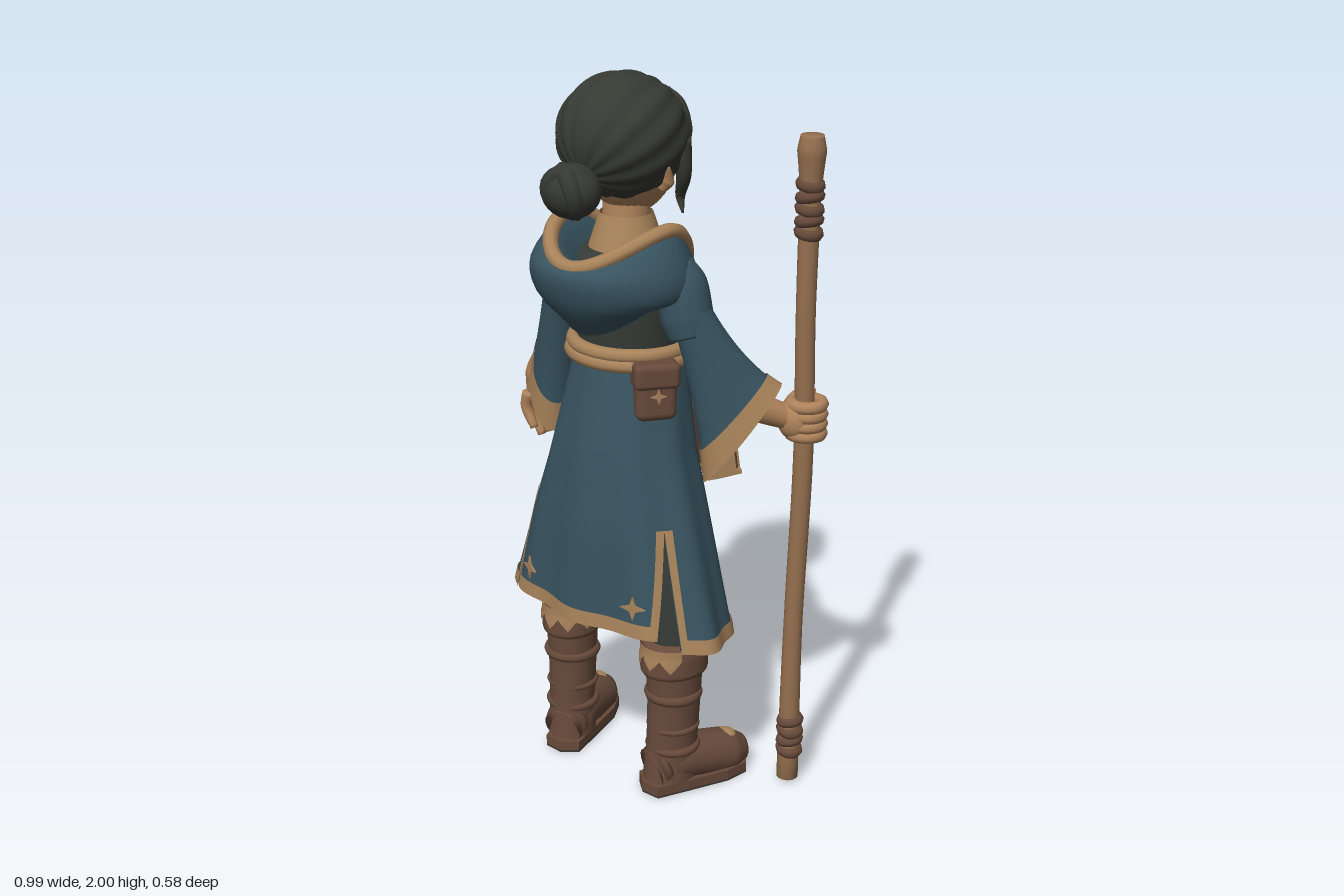
import * as THREE from 'three';
import { RoundedBoxGeometry } from 'three/addons/geometries/RoundedBoxGeometry.js';

const mat = (name, color) => new THREE.MeshStandardMaterial({ name, color, side: THREE.DoubleSide });
const V = (x, y, z) => new THREE.Vector3(x, y, z);
const { lerp, clamp } = THREE.MathUtils;
const PI = Math.PI;

// linear lookup in rows of [key, value, value...] with ascending keys
function tab(rows, k) {
  let i = 0;
  while (i < rows.length - 2 && k > rows[i + 1][0]) i++;
  const a = rows[i], b = rows[i + 1], f = clamp((k - a[0]) / (b[0] - a[0]), 0, 1);
  return a.slice(1).map((v, j) => lerp(v, b[j + 1], f));
}

// grid surface from fn(u, t) -> Vector3, optionally closed around u
function surf(fn, nu, nv, closed = false) {
  const pos = [], idx = [], cols = closed ? nu : nu + 1;
  for (let j = 0; j <= nv; j++)
    for (let i = 0; i < cols; i++) pos.push(...fn(i / nu, j / nv).toArray());
  for (let j = 0; j < nv; j++)
    for (let i = 0; i < nu; i++) {
      const a = j * cols + i, b = j * cols + (i + 1) % cols, c = a + cols, d = b + cols;
      idx.push(a, b, d, a, d, c);
    }
  const g = new THREE.BufferGeometry();
  g.setAttribute('position', new THREE.Float32BufferAttribute(pos, 3));
  g.setIndex(idx);
  g.computeVertexNormals();
  return g;
}

// rounded limb through points [x, y, z, radius], closed at both ends
function limb(pts, flat = 1, sides = 14) {
  const curve = new THREE.CatmullRomCurve3(pts.map(p => V(p[0], p[1], p[2])));
  const radii = pts.map((p, i) => [i / (pts.length - 1), p[3]]);
  const n = pts.length * 5;
  return surf((u, t) => {
    const k = clamp((t * (n + 2) - 1) / n, 0, 1), c = curve.getPoint(k), d = curve.getTangent(k);
    const r = t === 0 || t === 1 ? 0 : tab(radii, k)[0];
    const s = V(0, 0, 1).cross(d);
    if (s.length() < 0.25) s.set(1, 0, 0);
    s.normalize();
    const w = d.clone().cross(s).normalize(), a = u * 2 * PI;
    return c.addScaledVector(s, r * Math.cos(a)).addScaledVector(w, r * flat * Math.sin(a));
  }, sides, n + 2, true);
}

// upright body from rows [y, rx, rz, cx, cz]
const stack = (rows, n = 24) => surf((u, t) => {
  const y = lerp(rows[0][0], rows.at(-1)[0], t), [rx, rz, cx, cz] = tab(rows, y);
  return V(cx + rx * Math.sin(u * 2 * PI), y, cz + rz * Math.cos(u * 2 * PI));
}, n, 24, true);

// coat skirt point at angle a (0 = back), height y
const skirt = [[0.5, 0.36, 0.195, 0.028], [0.8, 0.272, 0.182, 0.02], [1.0, 0.21, 0.168, 0.01], [1.28, 0.148, 0.14, -0.02]];
function coat(a, y, off = 0) {
  const [rx, rz, cz] = tab(skirt, y), o = off + 0.012 * (1.28 - y) * Math.cos(9 * a);
  return V((rx + o) * Math.sin(a), y, cz + (rz + o) * Math.cos(a));
}

function star(r) {
  const s = new THREE.Shape();
  for (let i = 0; i < 8; i++) {
    const q = i % 2 ? r * 0.35 : r, a = i * PI / 4;
    s[i ? 'lineTo' : 'moveTo'](q * Math.sin(a), q * Math.cos(a));
  }
  return new THREE.ExtrudeGeometry(s, { depth: 0.005, bevelEnabled: false });
}

export function createModel() {
  const root = new THREE.Group();
  root.name = 'traveller';
  const hair = mat('charcoal hair', 0x373933), skin = mat('skin', 0xb0845c), blue = mat('blue cloth', 0x38535f);
  const trim = mat('tan trim', 0xa8835a), leather = mat('brown leather', 0x674a3b), dark = mat('dark cloth', 0x373d39);
  const wood = mat('staff wood', 0x95704f), sole = mat('dark sole', 0x3f3833);
  const add = (name, geo, m, p = [0, 0, 0], parent = root) => {
    const o = new THREE.Mesh(geo, m);
    o.name = name;
    o.position.set(...p);
    parent.add(o);
    return o;
  };
  const ball = (name, m, p, sx, sy, sz, parent) => add(name, new THREE.SphereGeometry(1, 20, 14).scale(sx, sy, sz), m, p, parent);
  const ring = (name, m, p, r, tube, parent) => add(name, new THREE.TorusGeometry(r, tube, 8, 24).rotateX(PI / 2), m, p, parent);

  // head and face
  const headGeo = new THREE.SphereGeometry(1, 28, 20), hp = headGeo.attributes.position;
  for (let i = 0; i < hp.count; i++) {
    const y = hp.getY(i), low = Math.max(0, -y);
    hp.setXYZ(i, hp.getX(i) * 0.128 * (1 - 0.25 * low * low), y * 0.165, hp.getZ(i) * 0.132 - 0.03 * low);
  }
  headGeo.computeVertexNormals();
  add('head', headGeo, skin, [0, 1.79, 0]);
  add('nose', limb([[0, 1.79, -0.125, 0.01], [0, 1.755, -0.14, 0.014], [0, 1.74, -0.134, 0.012]]), skin);
  ball('mouth', leather, [0, 1.698, -0.128], 0.022, 0.004, 0.006);
  for (const s of [-1, 1]) {
    ball('eye', hair, [s * 0.05, 1.778, -0.121], 0.022, 0.012, 0.007);
    add('brow', limb([[s * 0.02, 1.805, -0.131, 0.005], [s * 0.055, 1.816, -0.122, 0.007], [s * 0.085, 1.805, -0.1, 0.004]]), hair);
    add('ear', limb([[s * 0.115, 1.715, 0.0, 0.018], [s * 0.135, 1.742, 0.0, 0.026], [s * 0.158, 1.778, 0.02, 0.005]], 0.6), skin);
  }
  add('neck', new THREE.CylinderGeometry(0.06, 0.07, 0.18, 20), skin, [0, 1.59, 0]);
  add('collar', new THREE.CylinderGeometry(0.07, 0.1, 0.09, 24, 1, true), trim, [0, 1.59, 0]);

  // swept hair whose strands gather at the bun
  const A = V(0, -0.5, 0.866), T = V(0, 0.866, 0.5);
  const line = [[0, 190], [60, 171], [90, 152], [113, 126], [150, 65], [180, 42]];
  add('hair', surf((u, t) => {
    const f = u * 2 * PI, deg = Math.abs(u > 0.5 ? u * 360 - 360 : u * 360);
    const th = t * tab(line, deg)[0] * PI / 180;
    const d = A.clone().multiplyScalar(Math.cos(th)).addScaledVector(T, Math.sin(th) * Math.cos(f));
    d.x += Math.sin(th) * Math.sin(f);
    const k = 1 + 0.02 * Math.cos(14 * f) * Math.abs(Math.sin(th));
    return V(0.003 + d.x * 0.166 * k, 1.837 + d.y * 0.16 * k, 0.018 + d.z * 0.174 * k);
  }, 112, 24, true), hair);
  ball('bun', hair, [0.01, 1.73, 0.215], 0.078, 0.07, 0.068);
  for (const r of [-0.6, 0.5]) {
    const o = add('bunStrand', new THREE.TorusGeometry(0.05, 0.026, 8, 24), hair, [0.01, 1.73, 0.225]);
    o.rotation.set(0.3, r, 0);
  }
  for (const s of [-1, 1]) {
    add('fringe', limb([[s * 0.015, 1.925, -0.11, 0.028], [s * 0.06, 1.895, -0.115, 0.034], [s * 0.103, 1.845, -0.09, 0.034], [s * 0.13, 1.775, -0.06, 0.016]], 0.9), hair);
    add('sideLock', limb([[s * 0.128, 1.83, -0.06, 0.03], [s * 0.135, 1.74, -0.068, 0.02], [s * 0.108, 1.675, -0.088, 0.013], [s * 0.125, 1.635, -0.078, 0.003]]), hair);
  }
  add('frontLock', limb([[0.02, 1.925, -0.115, 0.03], [0.05, 1.885, -0.13, 0.026], [0.09, 1.82, -0.11, 0.006]], 0.7), hair);

  // torso
  const chest = [[1.25, 0.14, 0.135, 0, -0.02], [1.42, 0.172, 0.145, 0, -0.015], [1.5, 0.17, 0.12, 0, 0], [1.58, 0.07, 0.07, 0, 0]];
  add('vest', stack(chest), dark);
  for (const [name, m, y0, half, off] of [['jacketFront', blue, 1.25, PI - 1.75, 0.008], ['shirtFront', trim, 1.4, 0.4, 0.013]])
    add(name, surf((u, t) => {
      const y = lerp(y0, 1.57, t), [rx, rz, , cz] = tab(chest, y), a = lerp(PI - half, PI + half, u);
      return V((rx + off) * Math.sin(a), y, cz + (rz + off) * Math.cos(a));
    }, 20, 14), m);

  // draped hood, lying open on the shoulders
  const rim = (a, off = 0) => {
    const c = Math.cos(a);
    return V((0.16 + off) * Math.sin(a), 1.615 - (c > 0 ? 0.085 : 0.2) * c * c, 0.03 + (0.185 + off) * c);
  };
  add('hood', surf((u, t) => {
    const a = u * 2 * PI, c = Math.cos(a), s = Math.sin(a), back = Math.max(c, 0), front = Math.max(-c, 0);
    const sec = new THREE.CatmullRomCurve3([
      V(0.1 * s, 1.5 - 0.08 * front, 0.02 + 0.12 * c), rim(a),
      V(0.228 * s, 1.52 - 0.1 * front, 0.04 + 0.215 * c),
      V(0.225 * s, 1.45 - 0.015 * back - 0.06 * front, 0.035 + 0.205 * c),
      V(0.17 * s, 1.43 - 0.09 * back * back - 0.05 * front, 0.02 + 0.15 * c)]);
    return sec.getPoint(t);
  }, 48, 16, true), blue);
  const loop = (fn, n = 48) => new THREE.CatmullRomCurve3(Array.from({ length: n }, (_, i) => fn(i / n * 2 * PI)), true);
  add('hoodTrim', new THREE.TubeGeometry(loop(a => rim(a, 0.004)), 96, 0.021, 8, true), trim);
  for (const s of [-1, 1])
    add('lapel', limb([[s * 0.075, 1.57, -0.085, 0.03], [s * 0.05, 1.48, -0.15, 0.034], [s * 0.025, 1.38, -0.168, 0.028], [s * 0.012, 1.27, -0.163, 0.02]], 0.5), trim);

  // skirt panels: [start, end, start gap, end gap, start slit top, end slit top, hem height]
  const panels = [[-1.05, 1.05, 0.25, 0.25, 0.83, 0.83, 0.54]];
  for (const s of [-1, 1])
    panels.push([s * 1.05, s * 2.42, -s * 0.01, s * 0.05, 0.83, 0.86, 0.5], [s * 2.42, s * PI, s * 0.06, s * 0.28, 0.86, 1.12, 0.55]);
  for (const [a0, a1, g0, g1, top0, top1, hem] of panels) {
    const open = (y, top) => clamp((top - y) / (top - hem), 0, 1);
    const e0 = y => a0 + g0 * open(y, top0), e1 = y => a1 - g1 * open(y, top1);
    const at = (u, y, off) => coat(lerp(e0(y), e1(y), u), y, off);
    add('coatPanel', surf((u, t) => at(u, lerp(1.28, hem, t), 0), 28, 24), blue);
    add('coatLining', surf((u, t) => at(u, lerp(1.28, hem, t), -0.009), 28, 24), dark);
    add('hemTrim', surf((u, t) => at(u, lerp(hem + 0.036, hem - 0.004, t), 0.005), 28, 2), trim);
    const dir = Math.sign(a1 - a0);
    for (const [edge, top, k] of [[e0, top0, 1], [e1, top1, -1]])
      add('slitTrim', surf((u, t) => {
        const y = lerp(top, hem, t);
        return coat(edge(y) + k * dir * u * 0.028 / tab(skirt, y)[0], y, 0.005);
      }, 2, 16), trim);
  }
  for (const s of [-1, 1]) {
    const o = add('hemOrnament', star(0.036), trim, coat(s * 0.6, 0.62, 0.004).toArray());
    o.rotation.y = s * 0.35;
  }

  // rope belt, knot and tassels
  for (const y of [1.258, 1.284])
    add('ropeBelt', new THREE.TubeGeometry(loop(a => coat(a, y, 0.01)), 72, 0.02, 8, true), trim);
  ball('beltKnot', trim, [-0.04, 1.265, -0.18], 0.045, 0.035, 0.032);
  for (const [x, y, z] of [[-0.1, 0.93, -0.195], [-0.05, 0.88, -0.212]]) {
    add('ropeTail', limb([[-0.04, 1.26, -0.185, 0.014], [x * 0.85, 1.1, z, 0.015], [x, y, z, 0.014]]), trim);
    ball('tasselKnot', trim, [x, y, z], 0.025, 0.024, 0.025);
    add('tassel', new THREE.ConeGeometry(0.027, 0.09, 12), trim, [x, y - 0.05, z]);
  }

  // pouches and satchel
  const bag = (name, p, yaw, tilt, w, h, d, ornament) => {
    const g = new THREE.Group();
    g.name = name;
    g.position.set(...p);
    g.rotation.set(tilt, yaw, 0, 'YXZ');
    root.add(g);
    add('bagBody', new RoundedBoxGeometry(w, h, d, 3, 0.022), leather, [0, 0, 0], g);
    add('bagFlap', new RoundedBoxGeometry(w + 0.012, h * 0.45, d + 0.014, 3, 0.016), leather, [0, h * 0.3, 0], g);
    add('bagOrnament', star(ornament), trim, [0, -h * 0.02, d / 2 + 0.006], g);
    return g;
  };
  bag('hipPouch', [0.152, 1.195, 0.062], 0.95, 0, 0.11, 0.155, 0.075, 0.022);
  const pouch = bag('frontPouch', [0.12, 1.205, -0.165], 2.5, 0, 0.14, 0.115, 0.095, 0.022);
  add('pouchTopPatch', new THREE.BoxGeometry(0.08, 0.006, 0.06), trim, [0.01, 0.061, 0.01], pouch);
  const satchel = bag('satchel', [0.14, 0.985, -0.205], 2.5, -0.14, 0.155, 0.21, 0.09, 0.052);
  for (const s of [-1, 1]) {
    add('satchelPages', new THREE.BoxGeometry(0.008, 0.16, 0.066), trim, [s * 0.08, -0.01, 0], satchel);
    add('satchelBorder', new THREE.BoxGeometry(0.012, 0.11, 0.006), trim, [s * 0.06, -0.04, 0.045], satchel);
    add('satchelStrap', new THREE.BoxGeometry(0.016, 0.17, 0.01), leather, [s * 0.055, 0.16, -0.02], satchel);
  }
  add('satchelEdge', new THREE.BoxGeometry(0.16, 0.014, 0.096), trim, [0, -0.088, 0], satchel);

  // sheathed dagger
  add('sheath', limb([[-0.18, 1.21, -0.085, 0.038], [-0.208, 1.08, -0.085, 0.036], [-0.235, 0.95, -0.08, 0.016]], 0.8), leather);
  add('daggerGuard', limb([[-0.135, 1.2, -0.125, 0.015], [-0.22, 1.23, -0.075, 0.015]]), trim);
  add('daggerGrip', limb([[-0.174, 1.22, -0.105, 0.022], [-0.155, 1.3, -0.12, 0.02]]), leather);
  ball('daggerPommel', trim, [-0.15, 1.31, -0.123], 0.025, 0.022, 0.025);

  // arms: puffed upper sleeve, wide lined bell sleeve, forearm
  const bell = (s, t, u, k = 1) => {
    const e = t * t * 0.6 + t * 0.4, a = u * 2 * PI, c = Math.cos(a) * k, w = Math.sin(a) * k;
    return V(s * (lerp(0.222, 0.332, t) + c * lerp(0.04, 0.06, e) + w * lerp(0.03, 0.05, e)),
      lerp(1.4, 1.08, t) + c * lerp(0.02, 0.125, e) + w * 0.006,
      lerp(0, -0.082, t) + c * lerp(-0.03, -0.08, e) + w * lerp(0.046, 0.058, e));
  };
  for (const s of [-1, 1]) {
    add('upperSleeve', limb([[s * 0.14, 1.52, 0, 0.055], [s * 0.185, 1.47, 0, 0.07], [s * 0.208, 1.39, 0, 0.07], [s * 0.222, 1.345, -0.002, 0.062]]), blue);
    add('bellSleeve', surf((u, t) => bell(s, t * 0.84, u), 28, 14, true), blue);
    add('sleeveLining', surf((u, t) => bell(s, lerp(0.2, 0.98, t), u, 0.93), 28, 12, true), dark);
    add('sleeveTrim', surf((u, t) => bell(s, lerp(0.82, 1, t), u, 1.035), 28, 3, true), trim);
  }
  add('forearmLeft', limb([[0.28, 1.24, -0.03, 0.042], [0.34, 1.16, -0.1, 0.042], [0.4, 1.11, -0.185, 0.033]]), skin);
  ball('gripPalm', skin, [0.415, 1.105, -0.2], 0.05, 0.058, 0.045);
  for (let i = 0; i < 4; i++) ring('gripFinger', skin, [0.432, 1.065 + i * 0.027, -0.225], 0.041, 0.018);
  add('gripThumb', limb([[0.39, 1.13, -0.2, 0.02], [0.395, 1.155, -0.24, 0.018], [0.43, 1.16, -0.27, 0.013]]), skin);
  add('forearmRight', limb([[-0.28, 1.24, -0.03, 0.042], [-0.35, 1.18, -0.09, 0.046], [-0.42, 1.1, -0.13, 0.04]]), skin);
  add('openPalm', limb([[-0.41, 1.12, -0.125, 0.036], [-0.445, 1.05, -0.145, 0.052], [-0.458, 0.98, -0.15, 0.044]], 1.1), skin);
  for (let i = 0; i < 4; i++) {
    const z = -0.1 - i * 0.031, l = i === 0 ? 0.03 : 0;
    add('finger', limb([[-0.465, 0.99, z, 0.02], [-0.474, 0.93 + l / 2, z, 0.018], [-0.445, 0.855 + l, z, 0.012]]), skin);
  }
  add('openThumb', limb([[-0.43, 1.04, -0.175, 0.024], [-0.405, 0.98, -0.2, 0.019], [-0.4, 0.925, -0.205, 0.012]]), skin);

  // legs and boots
  for (const s of [-1, 1]) {
    add('trouserLeg', limb([[s * 0.075, 1.08, -0.005, 0.1], [s * 0.12, 0.85, 0, 0.1], [s * 0.165, 0.62, 0.005, 0.08], [s * 0.185, 0.42, 0.012, 0.066]]), dark);
    const boot = new THREE.Group();
    boot.name = 'boot';
    boot.position.set(s * 0.192, 0, 0.018);
    boot.rotation.y = -s * 0.33;
    root.add(boot);
    add('bootShaft', stack([[0.04, 0.068, 0.08, 0, 0.01], [0.14, 0.064, 0.074, 0, 0.005], [0.27, 0.068, 0.076, 0, 0], [0.4, 0.074, 0.082, 0, 0]]), leather, [0, 0, 0], boot);
    add('bootCuff', stack([[0.37, 0.078, 0.092, 0, 0], [0.38, 0.084, 0.098, 0, 0], [0.43, 0.083, 0.096, 0, 0], [0.462, 0.078, 0.09, 0, 0], [0.47, 0.06, 0.07, 0, 0]]), leather, [0, 0, 0], boot);
    add('cuffPatch', surf((u, t) => {
      const a = lerp(-1.3, 1.3, u), zig = Math.abs(((u * 4) % 1) - 0.5) * 2;
      const y = lerp(0.398 + 0.035 * zig, 0.464, t), o = y > 0.43 ? 0 : 0.003;
      return V((0.085 + o) * Math.sin(a), y, (0.098 + o) * Math.cos(a));
    }, 32, 4), trim, [0, 0, 0], boot);
    for (const [y, r] of [[0.135, 0.012], [0.2, 0.009], [0.3, 0.016]]) ring('bootStrap', leather, [0, y, 0.002], 0.066, r, boot);
    const foot = limb([[0, 0.07, 0.07, 0.06], [0, 0.085, 0, 0.07], [0, 0.07, -0.1, 0.068], [0, 0.056, -0.18, 0.067], [0, 0.05, -0.228, 0.042]], 0.95, 20);
    const fp = foot.attributes.position;
    for (let i = 0; i < fp.count; i++) fp.setY(i, Math.max(fp.getY(i), 0.015));
    foot.computeVertexNormals();
    add('bootFoot', foot, leather, [0, 0, 0], boot);
    ball('toePatch', trim, [0, 0.104, -0.175], 0.034, 0.02, 0.03, boot);
    const out = new THREE.Shape([[0.052, 0.08], [0.06, 0], [0.072, -0.14], [0.058, -0.21], [0, -0.243], [-0.058, -0.21], [-0.072, -0.14], [-0.06, 0], [-0.052, 0.08], [0, 0.1]].map(p => new THREE.Vector2(...p)));
    for (const [name, m, top, depth] of [['bootWelt', leather, 0.034, 0.028], ['bootSole', sole, 0.006, 0.006]])
      add(name, new THREE.ExtrudeGeometry(out, { depth, bevelEnabled: false }).rotateX(PI / 2), m, [0, top, 0], boot);
  }

  // walking staff with knob and leather wraps
  add('staff', limb([[0.422, 0.01, -0.215, 0.031], [0.424, 0.5, -0.213, 0.026], [0.43, 1.0, -0.222, 0.027], [0.427, 1.4, -0.213, 0.026], [0.426, 1.72, -0.215, 0.028], [0.426, 1.82, -0.215, 0.038], [0.426, 1.86, -0.215, 0.03]]), wood);
  for (const [y, n] of [[0.1, 4], [1.61, 5]])
    for (let i = 0; i < n; i++) {
      const o = ring('staffWrap', leather, [0.425, y + i * 0.031, -0.215], 0.022, 0.017);
      o.rotation.z = i % 2 ? 0.2 : -0.2;
    }
  return root;
}
